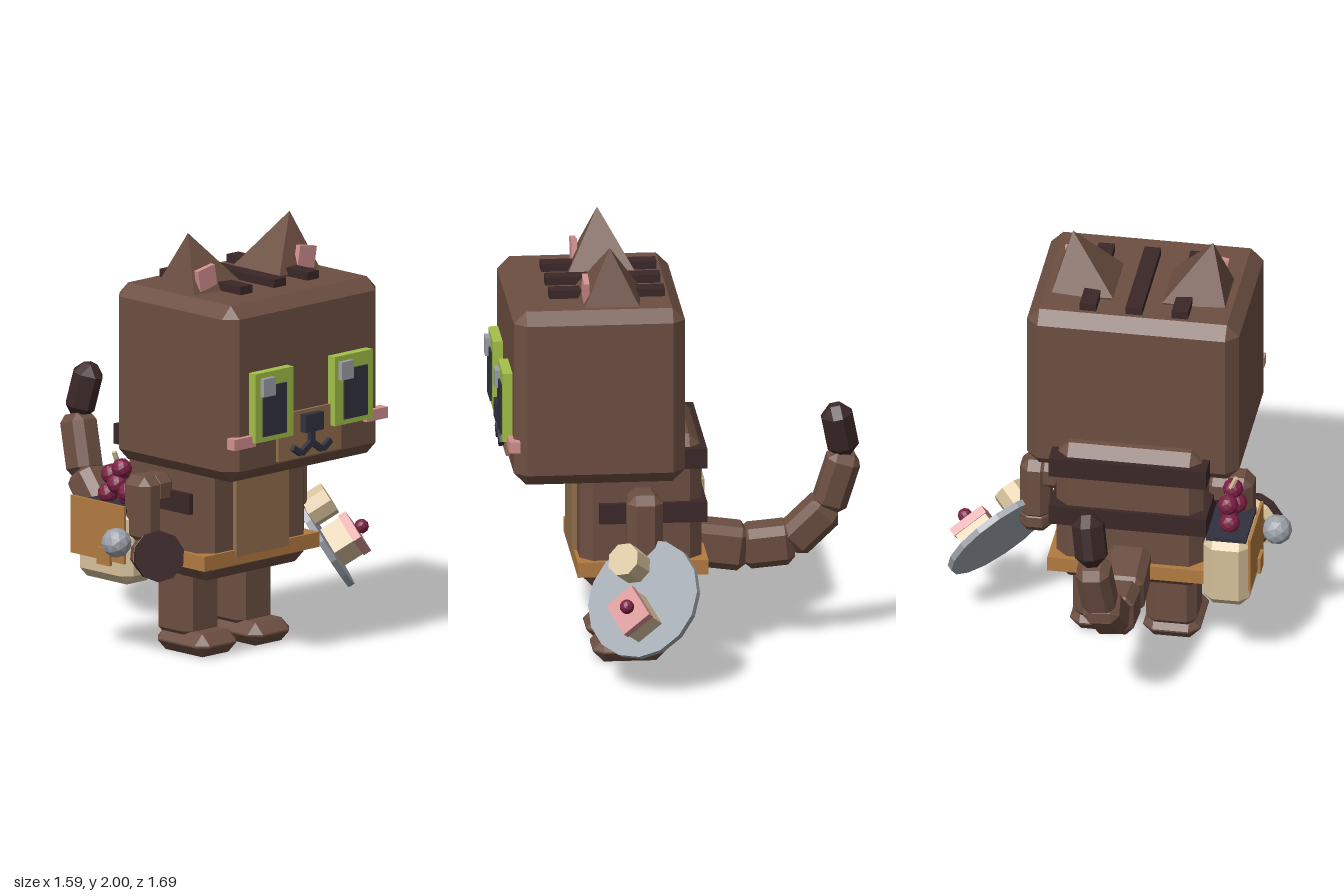
import * as THREE from 'three';
import { ConvexGeometry } from 'three/addons/geometries/ConvexGeometry.js';

const MID = -0.085; // x of the body's own mirror plane
const V = (x, y, z) => new THREE.Vector3(x, y, z);
const UP = V(0, 1, 0);

const material = (name, color) => {
  const m = new THREE.MeshStandardMaterial({ color, flatShading: true });
  m.name = name;
  return m;
};

// Box with all edges and corners cut off
function chamferBox(w, h, d, c) {
  const pts = [];
  for (const sx of [-1, 1]) for (const sy of [-1, 1]) for (const sz of [-1, 1]) {
    const x = w / 2, y = h / 2, z = d / 2;
    pts.push(V(sx * x, sy * (y - c), sz * (z - c)));
    pts.push(V(sx * (x - c), sy * y, sz * (z - c)));
    pts.push(V(sx * (x - c), sy * (y - c), sz * z));
  }
  return new ConvexGeometry(pts);
}

export function createModel() {
  const brown = material('brown fur', 0x6d4f42);
  const dark = material('dark fur', 0x3b2728);
  const tan = material('tan fur', 0x957050);
  const gold = material('belt leather', 0xb37b41);
  const green = material('eye green', 0xa4c148);
  const navy = material('ink', 0x31323f);
  const gray = material('metal gray', 0x9ca2aa);
  const pink = material('pink', 0xd49090);
  const cream = material('cream', 0xd6c19b);
  const berry = material('berry red', 0x7a1f42);

  const root = new THREE.Group();
  root.name = 'cat';
  const add = (name, geo, mat, x = 0, y = 0, z = 0, rz = 0) => {
    const m = new THREE.Mesh(geo, mat);
    m.name = name;
    m.position.set(x, y, z);
    m.rotation.z = rz;
    root.add(m);
    return m;
  };
  // Box given by its limits; c is the chamfer
  const span = (name, mat, [x0, x1], [y0, y1], [z0, z1], c = 0) => {
    const s = [x1 - x0, y1 - y0, z1 - z0];
    const geo = c ? chamferBox(...s, c) : new THREE.BoxGeometry(...s);
    return add(name, geo, mat, (x0 + x1) / 2, (y0 + y1) / 2, (z0 + z1) / 2);
  };
  // x range on side s, at distances a..b from the mirror plane
  const side = (s, a, b) => (s > 0 ? [MID + a, MID + b] : [MID - b, MID - a]);

  // Head
  span('head', brown, [-0.577, 0.407], [0.912, 1.74], [-0.016, 0.77], 0.057);
  for (const i of [-1, 0, 1]) {
    const x = MID + i * 0.213;
    span('headStripe', dark, [x - 0.038, x + 0.038], [1.7, 1.778], [0.06, 0.59]);
  }
  for (const s of [-1, 1]) {
    const at = (d, y, z) => V(MID + s * d, y, z);
    // Ears lean outwards
    add('ear', new ConvexGeometry([
      at(0.325, 2, 0.32),
      at(0.115, 1.752, 0.165), at(0.115, 1.752, 0.47),
      at(0.405, 1.73, 0.185), at(0.405, 1.73, 0.445),
      at(0.13, 1.69, 0.18), at(0.13, 1.69, 0.46),
    ]), brown);
    add('innerEar', new THREE.BoxGeometry(0.108, 0.1, 0.026), pink, MID + s * 0.318, 1.807, 0.43, -s * 0.18);

    // Eyes
    span('eye', green, side(s, 0.132, 0.375), [1.1, 1.425], [0.76, 0.815]);
    span('pupil', navy, side(s, 0.185, 0.333), [1.125, 1.36], [0.81, 0.824]);
    const hx = s < 0 ? -0.43 : 0.07;
    span('eyeHighlight', gray, [hx, hx + 0.076], [1.315, 1.4], [0.815, 0.838]);

    // Cheeks and mouth
    span('cheek', pink, side(s, 0.355, 0.49), [1.08, 1.132], [0.745, 0.795]);
    add('mouthInner', new THREE.BoxGeometry(0.07, 0.028, 0.025), navy, MID + s * 0.035, 1.023, 0.795, -s * 0.6);
    add('mouthOuter', new THREE.BoxGeometry(0.06, 0.028, 0.025), navy, MID + s * 0.095, 1.02, 0.795, s * 0.6);
  }
  span('muzzle', tan, [-0.285, 0.117], [0.98, 1.2], [0.76, 0.785]);
  span('nose', navy, [-0.143, -0.027], [1.1, 1.183], [0.77, 0.82]);
  span('mouthStem', navy, [-0.1, -0.07], [1.03, 1.105], [0.78, 0.808]);

  // Torso
  span('torso', brown, [-0.425, 0.255], [0.375, 1.09], [-0.105, 0.455], 0.057);
  span('belly', tan, [-0.254, 0.08], [0.48, 0.95], [0.44, 0.48]);
  span('belt', gold, [-0.45, 0.285], [0.44, 0.51], [-0.13, 0.47]);
  for (const y of [0.69, 0.945])
    span('backStripe', dark, [-0.45, 0.28], [y, y + 0.095], [-0.125, 0.37]);

  // Legs and arms
  for (const s of [-1, 1]) {
    span('leg', brown, side(s, 0.052, 0.287), [0.07, 0.42], [0.05, 0.275], 0.04);
    span('foot', brown, side(s, 0.037, 0.302), [0, 0.108], [0.05, 0.39], 0.05);
    span('shoulder', brown, side(s, 0.32, 0.46), [0.72, 0.86], [0.1, 0.245], 0.035);
    span('arm', brown, side(s, 0.4, 0.54), [0.55, 0.865], [0.09, 0.255], 0.04);
  }
  span('leftPaw', brown, [0.31, 0.46], [0.48, 0.61], [0.1, 0.26], 0.04);

  // Tail of chamfered segments strung along a path
  const path = [
    V(-0.088, 0.5, -0.02), V(-0.09, 0.458, -0.325), V(-0.085, 0.478, -0.54),
    V(-0.06, 0.65, -0.71), V(-0.035, 0.9, -0.785), V(0, 1.15, -0.735),
  ];
  const widths = [0.205, 0.19, 0.17, 0.155, 0.145];
  widths.forEach((w, i) => {
    const dir = path[i + 1].clone().sub(path[i]);
    const len = dir.length() + (i < 4 ? 0.025 : 0);
    const tip = i === 4;
    const p = path[i].clone().lerp(path[i + 1], 0.5);
    const m = add(tip ? 'tailTip' : 'tailSegment', chamferBox(w, len, w, tip ? 0.05 : 0.037), tip ? dark : brown, p.x, p.y, p.z);
    m.quaternion.setFromUnitVectors(UP, dir.normalize());
  });

  // Serving plate with treats, facing outwards
  const plate = new THREE.Group();
  plate.name = 'plate';
  plate.position.set(0.555, 0.412, 0.19);
  plate.quaternion.setFromUnitVectors(UP, V(0.66, 0.53, 0.53).normalize());
  root.add(plate);
  const onPlate = (name, geo, mat, worldPos, turn = 0) => {
    const m = new THREE.Mesh(geo, mat);
    m.name = name;
    m.position.copy(worldPos).sub(plate.position).applyQuaternion(plate.quaternion.clone().invert());
    m.rotation.y = turn;
    plate.add(m);
  };
  onPlate('plateDisc', new THREE.CylinderGeometry(0.283, 0.283, 0.03, 16), gray, plate.position);
  onPlate('biscuit', new THREE.CylinderGeometry(0.08, 0.08, 0.13, 8), cream, V(0.49, 0.565, 0.25));
  onPlate('cake', new THREE.BoxGeometry(0.17, 0.13, 0.14), cream, V(0.655, 0.362, 0.23), 0.2);
  onPlate('icing', new THREE.BoxGeometry(0.182, 0.04, 0.152), pink, V(0.705, 0.403, 0.27), 0.2);
  onPlate('cakeBerry', new THREE.IcosahedronGeometry(0.034, 1), berry, V(0.735, 0.434, 0.285));

  // Pouch with flap, buckle and a heap of berries
  span('pouch', cream, [-0.655, -0.44], [0.35, 0.705], [-0.18, 0.17], 0.045);
  span('pouchOpening', navy, [-0.64, -0.455], [0.69, 0.709], [-0.15, 0.14]);
  span('pouchFlap', gold, [-0.668, -0.655], [0.46, 0.73], [-0.185, 0.165]);
  span('buckle', gold, [-0.683, -0.665], [0.44, 0.52], [0, 0.085]);
  for (const [x, y, z] of [
    [-0.55, 0.74, -0.06], [-0.53, 0.74, 0.05], [-0.57, 0.8, 0.02],
    [-0.54, 0.83, -0.05], [-0.55, 0.87, 0.03], [-0.56, 0.77, 0.08],
  ]) add('berry', new THREE.IcosahedronGeometry(0.048, 1), berry, x, y, z);
  add('berryStem', new THREE.CylinderGeometry(0.012, 0.012, 0.1, 6), cream, -0.55, 0.9, 0, 0.4);

  // Capped jar held in the right paw, stacked along its axis
  const axis = V(-0.5, 0.15, 0.83).normalize();
  for (const [name, mat, r, len, t] of [
    ['jarCap', dark, 0.118, 0.035, 0], ['jarRim', cream, 0.108, 0.05, -0.042], ['jarBody', brown, 0.095, 0.13, -0.12],
  ]) {
    const p = V(-0.635, 0.525, 0.36).addScaledVector(axis, t);
    add(name, new THREE.CylinderGeometry(r, r, len, 10), mat, p.x, p.y, p.z).quaternion.setFromUnitVectors(UP, axis);
  }
  span('rightPaw', brown, [-0.59, -0.45], [0.42, 0.58], [0.14, 0.3], 0.04);
  add('metalBall', new THREE.IcosahedronGeometry(0.07, 1), gray, -0.73, 0.575, 0.18);

  return root;
}
